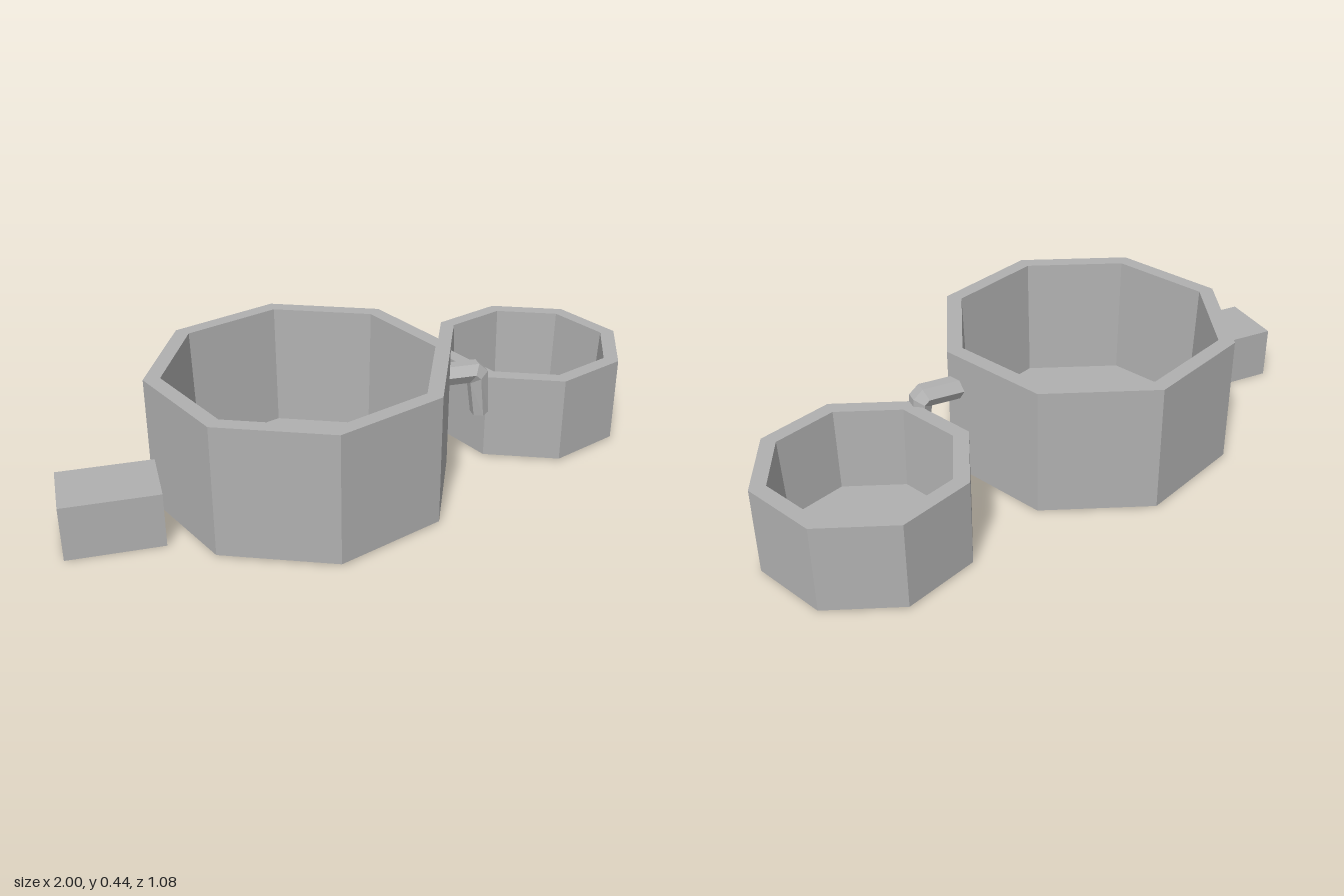
import * as THREE from 'three';

const stone = new THREE.MeshStandardMaterial({ color: 0xb0b0b0, flatShading: true, side: THREE.DoubleSide });
stone.name = 'grey stone';

// Eight-sided hollow-walled basin, open underneath between its two skins
function basin(name, x, z, outer, rim, floor, height) {
  const profile = [[outer, 0.006], [outer, height], [rim, height], [floor, 0.02], [0, 0.02]];
  const geometry = new THREE.LatheGeometry(profile.map(([r, y]) => new THREE.Vector2(r, y)), 8);
  const mesh = new THREE.Mesh(geometry, stone);
  mesh.name = name;
  mesh.position.set(x, 0, z);
  return mesh;
}

// Six-sided pipe lofted through rings, each given by its outer and inner flat [x, y]
function pipe(rings, z, radius) {
  const positions = [];
  const index = [];
  for (const [[px, py], [qx, qy]] of rings) {
    const mx = (px + qx) / 2, my = (py + qy) / 2, h = radius / 2;
    positions.push(
      px, py, z + h, mx, my, z + radius, qx, qy, z + h,
      qx, qy, z - h, mx, my, z - radius, px, py, z - h);
  }
  for (let i = 0; i < rings.length - 1; i++) {
    for (let j = 0; j < 6; j++) {
      const a = i * 6 + j, b = i * 6 + (j + 1) % 6;
      index.push(a, b, a + 6, b, b + 6, a + 6);
    }
  }
  const end = (rings.length - 1) * 6;
  for (let j = 1; j < 5; j++) index.push(end, end + j, end + j + 1);
  const geometry = new THREE.BufferGeometry();
  geometry.setAttribute('position', new THREE.Float32BufferAttribute(positions, 3));
  geometry.setIndex(index);
  geometry.computeVertexNormals();
  return geometry;
}

export function createModel() {
  const group = new THREE.Group();
  group.name = 'basins';

  group.add(basin('largeBasin', -0.21, 0.045, 0.495, 0.442, 0.428, 0.44));
  group.add(basin('smallBasin', 0.66, -0.205, 0.338, 0.286, 0.274, 0.3));

  // Spout running out of the large basin and bending down into the small one
  const spout = new THREE.Mesh(pipe([
    [[0.23, 0.354], [0.23, 0.288]],
    [[0.39, 0.354], [0.36, 0.288]],
    [[0.422, 0.325], [0.362, 0.286]],
    [[0.432, 0.172], [0.379, 0.163]],
  ], 0.017, 0.038), stone);
  spout.name = 'spout';
  group.add(spout);

  // Step block beside the large basin
  const step = new THREE.Mesh(new THREE.BoxGeometry(0.306, 0.182, 0.216), stone);
  step.name = 'step';
  step.position.set(-0.847, 0.091, 0.19);
  group.add(step);

  return group;
}
